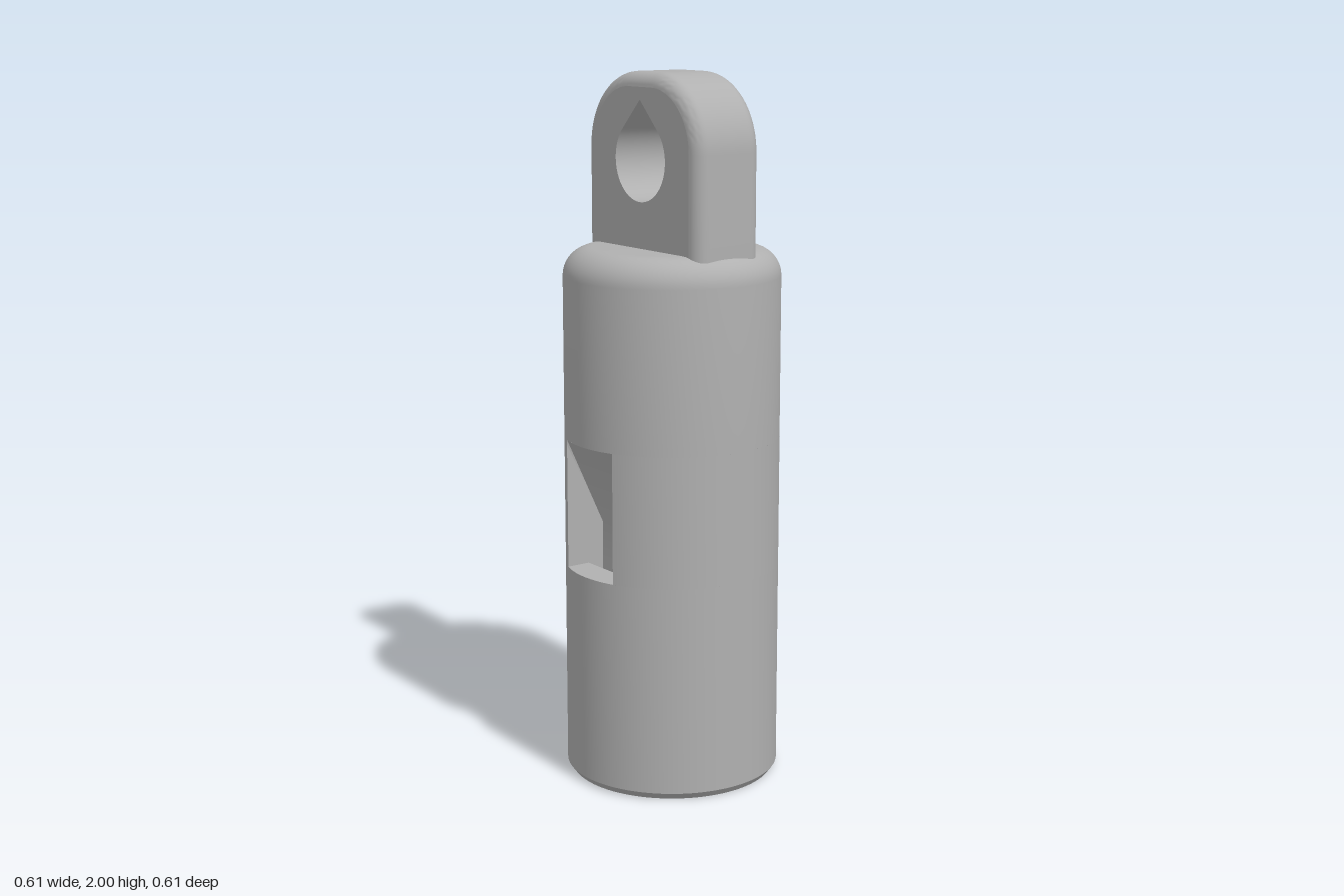
import * as THREE from 'three';
import { toCreasedNormals } from 'three/addons/utils/BufferGeometryUtils.js';

const R = 0.305;                                   // body radius
const SLOT = { half: 0.11, back: 0.165, front: 0.215 };
const FLOOR = 0.615, LIP = 0.985;                  // pocket opening, bottom and top

// Surface through equal-length rows of points
function loft(rows, closed) {
  const n = rows[0].length, index = [];
  for (let i = 0; i < rows.length - 1; i++) {
    for (let j = 0; j < (closed ? n : n - 1); j++) {
      const k = (j + 1) % n, a = i * n, b = a + n;
      index.push(a + j, a + k, b + k, a + j, b + k, b + j);
    }
  }
  const geo = new THREE.BufferGeometry().setFromPoints(rows.flat());
  geo.setIndex(index);
  geo.computeVertexNormals();
  return toCreasedNormals(geo, 0.5);
}

// Turned surface from [radius, height] pairs
function turned(profile, start = 0, length = Math.PI * 2) {
  const pts = profile.map(([r, y]) => new THREE.Vector2(r, y));
  return toCreasedNormals(new THREE.LatheGeometry(pts, 96, start, length), 0.5);
}

// Strip across the pocket from [depth, height] pairs, trimmed to the body wall
function pocketStrip(profile) {
  return loft(profile.map(([v, y]) => Array.from({ length: 17 }, (_, i) => {
    const u = SLOT.half * (i / 8 - 1);
    return new THREE.Vector3(u, y, Math.min(v, Math.sqrt(R * R - u * u)));
  })), false);
}

// Arched outline of the eyelet plate, inset by o
function archOutline(o) {
  const half = 0.261 - o, r = 0.21 - o, flat = 0.051, cy = 1.79;
  const pts = [new THREE.Vector2(-half, 1.47), new THREE.Vector2(half, 1.47)];
  for (let i = 0; i <= 20; i++) {
    const a = (i / 20) * Math.PI / 2;
    pts.push(new THREE.Vector2(flat + r * Math.cos(a), cy + r * Math.sin(a)));
  }
  for (let i = 0; i <= 20; i++) {
    const a = (1 + i / 20) * Math.PI / 2;
    pts.push(new THREE.Vector2(-flat + r * Math.cos(a), cy + r * Math.sin(a)));
  }
  return pts;
}

// Teardrop hole: round below, pointed above
function teardrop() {
  const r = 0.115, cy = 1.763, pts = [new THREE.Vector2(0, cy + r * Math.SQRT2)];
  for (let i = 0; i <= 40; i++) {
    const a = Math.PI * (0.75 + 1.5 * i / 40);
    pts.push(new THREE.Vector2(r * Math.cos(a), cy + r * Math.sin(a)));
  }
  return pts;
}

// Rectangle of the strap channel, grown by g
function channel(g) {
  const h = SLOT.half + g, b = SLOT.back - g, f = SLOT.front + g;
  return [[-h, b], [h, b], [h, f], [-h, f]].map(([x, y]) => new THREE.Vector2(x, y));
}

export function createModel() {
  const model = new THREE.Group();
  const grey = new THREE.MeshStandardMaterial({ color: 0xb0b0b0, side: THREE.DoubleSide });
  grey.name = 'grey plastic';
  const add = (name, geo) => {
    const mesh = new THREE.Mesh(geo, grey);
    mesh.name = name;
    model.add(mesh);
    return mesh;
  };

  // Cylindrical body, open at the pocket
  const gap = Math.asin(SLOT.half / R);
  add('lowerBody', turned([[R - 0.015, 0], [R, 0.02], [R, FLOOR]]));
  add('pocketBand', turned([[R, FLOOR], [R, LIP]], gap, Math.PI * 2 - 2 * gap));
  const shoulder = [[R, LIP]];
  for (let i = 0; i <= 10; i++) {
    const a = (i / 10) * Math.PI / 2;
    shoulder.push([R - 0.08 + 0.08 * Math.cos(a), 1.44 + 0.08 * Math.sin(a)]);
  }
  add('upperBody', turned([...shoulder, [0, 1.52]]));

  // Bottom face with the channel mouth
  const base = new THREE.Shape().absarc(0, 0, R - 0.015, 0, Math.PI * 2);
  base.holes.push(new THREE.Path(channel(0.02)));
  add('bottomFace', new THREE.ShapeGeometry(base, 48)).rotation.x = Math.PI / 2;

  // Strap channel running up to the pocket
  add('channel', loft([[0.02, 0], [0, 0.025], [0, FLOOR]].map(([g, y]) =>
    channel(g).map(p => new THREE.Vector3(p.x, y, p.y))), true));

  // Side pocket with a sloping roof
  add('pocketRoof', pocketStrip([[SLOT.back, FLOOR], [SLOT.back, 0.73], [0.291, LIP], [R, LIP]]));
  add('pocketFloor', pocketStrip([[SLOT.front, FLOOR], [R, FLOOR]]));
  const edge = Math.sqrt(R * R - SLOT.half ** 2);
  for (const s of [-1, 1]) {
    add('pocketSide', loft([[SLOT.back, FLOOR], [SLOT.back, 0.73], [edge, 0.97]].map(([v, y]) =>
      [new THREE.Vector3(s * SLOT.half, y, v), new THREE.Vector3(s * SLOT.half, y, edge)]), false));
  }

  // Eyelet plate: rounded rim, two faces and the hole wall
  const W = 0.109, fillet = 0.04, rim = [];
  for (const s of [-1, 1]) {
    for (let i = 0; i <= 8; i++) {
      const a = (s < 0 ? 1 - i / 8 : i / 8) * Math.PI / 2;
      const z = s * (W - fillet + fillet * Math.sin(a));
      rim.push(archOutline(fillet * (1 - Math.cos(a))).map(p => new THREE.Vector3(p.x, p.y, z)));
    }
  }
  add('eyeletRim', loft(rim, true));
  const face = new THREE.Shape(archOutline(fillet));
  face.holes.push(new THREE.Path(teardrop()));
  for (const s of [-1, 1]) {
    const mesh = add('eyeletFace', new THREE.ShapeGeometry(face));
    mesh.position.z = s * W;
    if (s < 0) mesh.rotation.y = Math.PI;
  }
  add('eyeletHole', loft([W, -W].map(z =>
    teardrop().map(p => new THREE.Vector3(p.x, p.y, z))), true));

  // Turn the plate and pocket to the diagonal
  model.rotation.y = -Math.PI / 4;
  const group = new THREE.Group();
  group.name = 'eyeletCylinder';
  group.add(model);
  return group;
}
